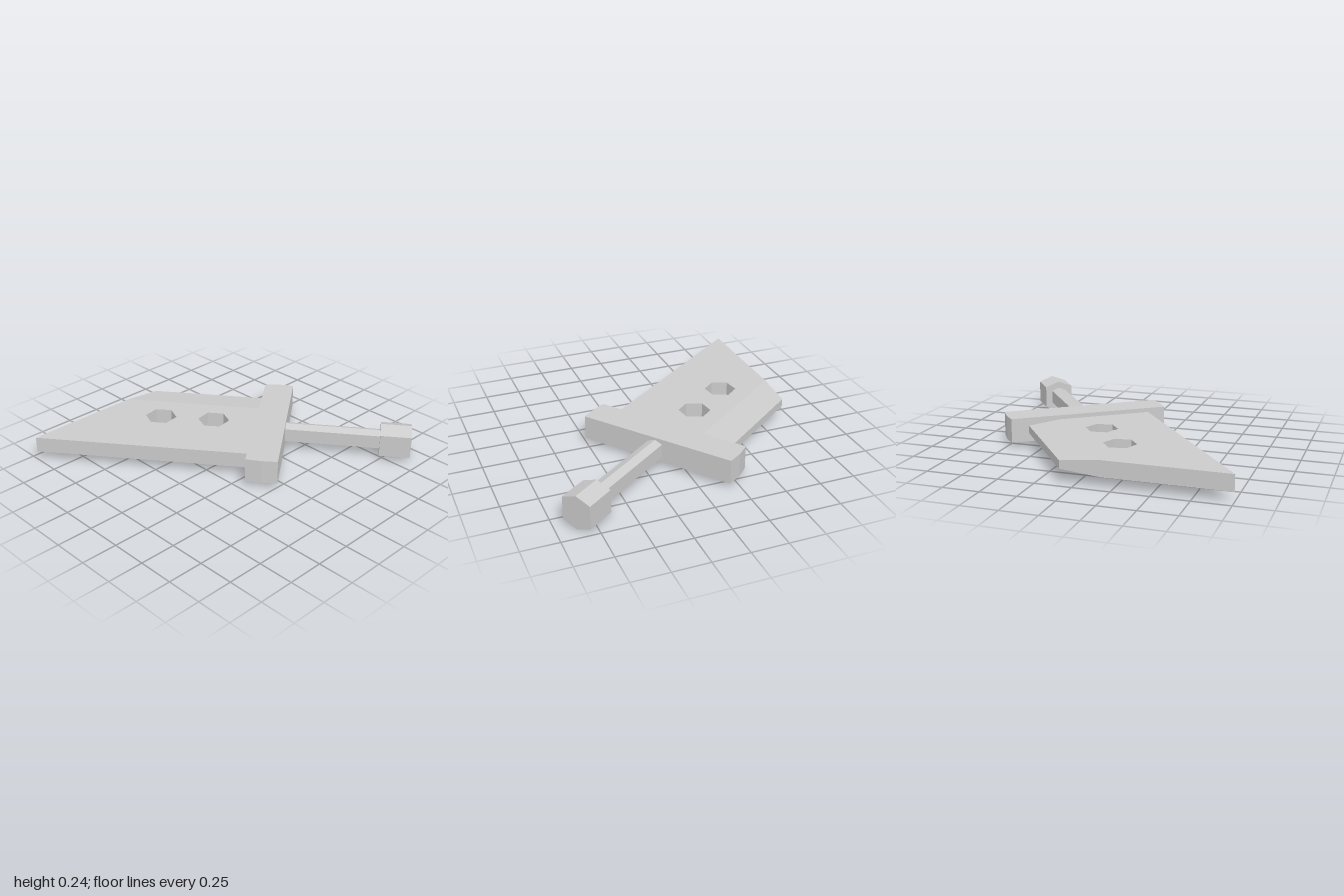
import * as THREE from 'three';

const material = new THREE.MeshStandardMaterial({ color: 0xcccccc, flatShading: true });

function addMesh(parent, geometry, name) {
  const mesh = new THREE.Mesh(geometry, material);
  mesh.name = name;
  parent.add(mesh);
  return mesh;
}

// Flat plate: an outline of [x, z] points raised from y0 to y1, with optional holes
const toPoints = (list) => list.map(([x, z]) => new THREE.Vector2(x, -z));

function plate(outline, y0, y1, holes = []) {
  const shape = new THREE.Shape(toPoints(outline));
  for (const hole of holes) shape.holes.push(new THREE.Path(toPoints(hole)));
  return new THREE.ExtrudeGeometry(shape, { depth: y1 - y0, bevelEnabled: false })
    .rotateX(-Math.PI / 2)
    .translate(0, y0, 0);
}

// Six-sided hole with its first corner turned by a small angle
function hexagon(cx, cz, r, turn) {
  return Array.from({ length: 6 }, (_, i) => {
    const a = turn + (i * Math.PI) / 3;
    return [cx + r * Math.cos(a), cz + r * Math.sin(a)];
  });
}

// Six-sided bar along z, with ridges on top and below
function hexBar(halfWidth, ridge, shoulder, length) {
  const shape = new THREE.Shape([
    [0, ridge], [-halfWidth, shoulder], [-halfWidth, -shoulder],
    [0, -ridge], [halfWidth, -shoulder], [halfWidth, shoulder],
  ].map(([x, y]) => new THREE.Vector2(x, y)));
  return new THREE.ExtrudeGeometry(shape, { depth: length, bevelEnabled: false });
}

// Tapered strip between a thick inner line and a thin outer line
function taperedStrip(inner, outer, mid, thickHalf, thinHalf) {
  const section = (i) => [
    [inner[i][0], mid + thickHalf, inner[i][1]],
    [outer[i][0], mid + thinHalf, outer[i][1]],
    [outer[i][0], mid - thinHalf, outer[i][1]],
    [inner[i][0], mid - thickHalf, inner[i][1]],
  ];
  const [back, front] = [section(0), section(1)];
  const positions = [];
  const quad = (a, b, c, d) => positions.push(...a, ...b, ...c, ...a, ...c, ...d);
  for (let k = 0; k < 3; k++) quad(back[k], front[k], front[k + 1], back[k + 1]);
  quad(...back);
  quad(...[...front].reverse());
  const geometry = new THREE.BufferGeometry();
  geometry.setAttribute('position', new THREE.Float32BufferAttribute(positions, 3));
  geometry.computeVertexNormals();
  return geometry;
}

export function createModel() {
  const model = new THREE.Group();
  model.name = 'sword';
  const midY = 0.125;

  // Blade: full-thickness body with two holes and a tapered cutting edge
  const blade = new THREE.Group();
  blade.name = 'blade';
  model.add(blade);
  const bevelLine = [[-0.165, -0.94], [0.43, -0.143]];
  const edgeLine = [[0.105, -0.94], [0.605, -0.274]];
  addMesh(blade, plate(
    [[-1, -0.94], [-0.1, 0.253], bevelLine[1], bevelLine[0]],
    midY - 0.055, midY + 0.055,
    [hexagon(-0.166, -0.567, 0.113, -0.14), hexagon(0.07, -0.26, 0.113, -0.14)],
  ), 'bladeBody');
  addMesh(blade, taperedStrip(bevelLine, edgeLine, midY, 0.055, 0.028), 'bladeEdge');

  // Crossguard with slightly pointed ends
  addMesh(model, plate([
    [0.704, -0.348], [-0.2, 0.328], [-0.14, 0.418],
    [-0.07, 0.504], [0.835, -0.18], [0.775, -0.273],
  ], 0.04, 0.21), 'guard');

  // Grip and pommel share one slanted axis
  const handle = new THREE.Group();
  handle.name = 'handle';
  handle.position.set(0.383, midY, 0.162);
  handle.rotation.y = Math.atan2(0.597, 0.802);
  model.add(handle);
  addMesh(handle, hexBar(0.054, 0.07, 0.048, 0.67), 'grip');
  addMesh(handle, hexBar(0.103, 0.12, 0.08, 0.215), 'pommel').position.z = 0.67;

  return model;
}
